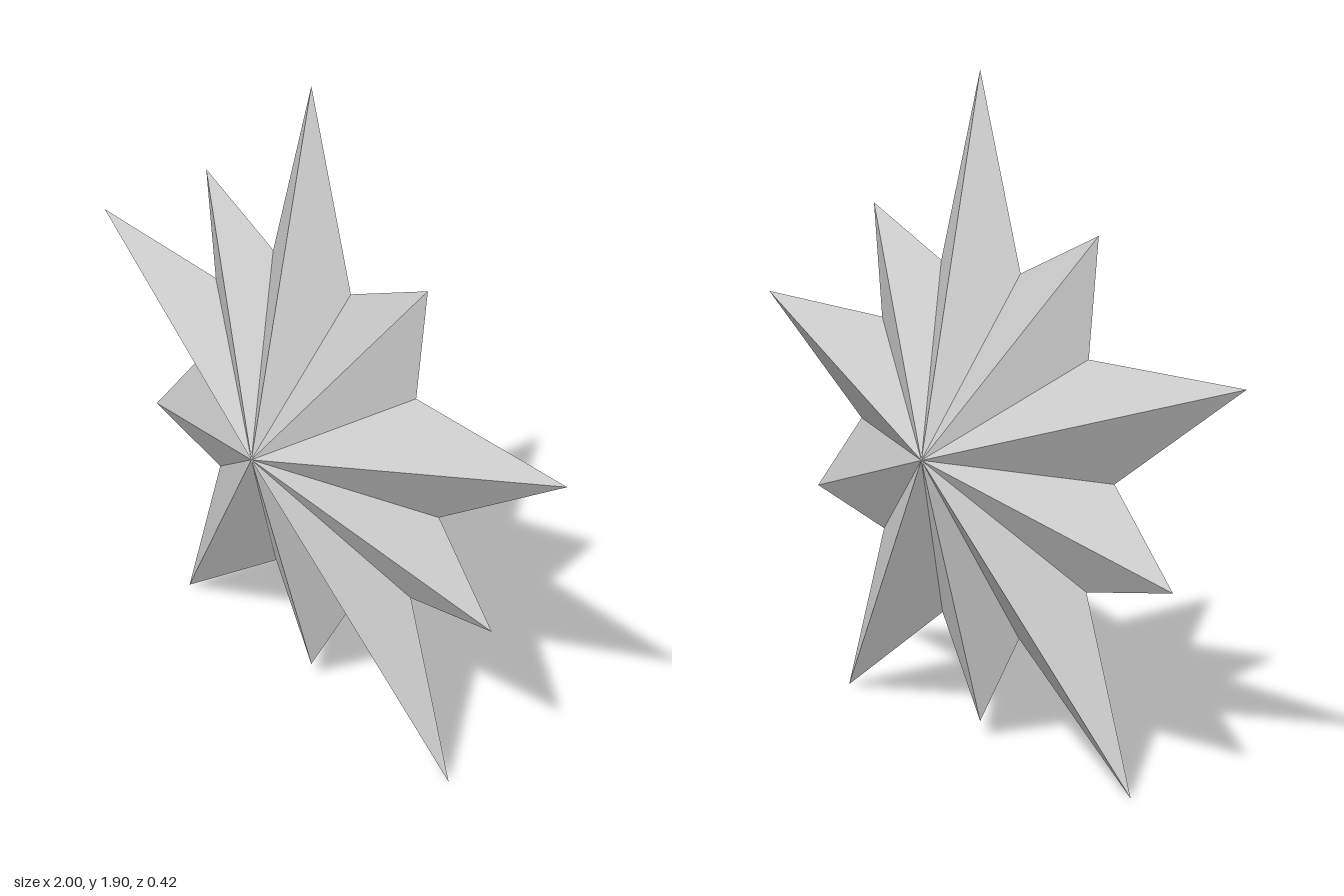
import * as THREE from 'three';

const CENTER_Y = 0.85;
const DEPTH = 0.212;
const LONG = 1.05, SHORT = 0.8, VALLEY = 0.54;
const STEPS = 20; // long tip, valley, short tip, valley, five times round

// Outline point i, going clockwise from the top tip
function rimPoint(i) {
  const radius = [LONG, VALLEY, SHORT, VALLEY][i % 4];
  const angle = (i / STEPS) * Math.PI * 2;
  return [Math.sin(angle) * radius, CENTER_Y + Math.cos(angle) * radius, 0];
}

export function createModel() {
  const group = new THREE.Group();
  group.name = 'facetedStar';
  const material = new THREE.MeshStandardMaterial({ color: 0xcccccc, flatShading: true });

  // Each half is a fan of facets from the raised centre to the shared rim
  for (const side of [1, -1]) {
    const positions = [];
    for (let i = 0; i < STEPS; i++) {
      const a = rimPoint(i), b = rimPoint(i + 1);
      positions.push(0, CENTER_Y, side * DEPTH, ...(side > 0 ? [...b, ...a] : [...a, ...b]));
    }
    const geometry = new THREE.BufferGeometry();
    geometry.setAttribute('position', new THREE.Float32BufferAttribute(positions, 3));
    geometry.computeVertexNormals();
    const half = new THREE.Mesh(geometry, material);
    half.name = side > 0 ? 'frontFacets' : 'backFacets';
    group.add(half);
  }
  return group;
}
